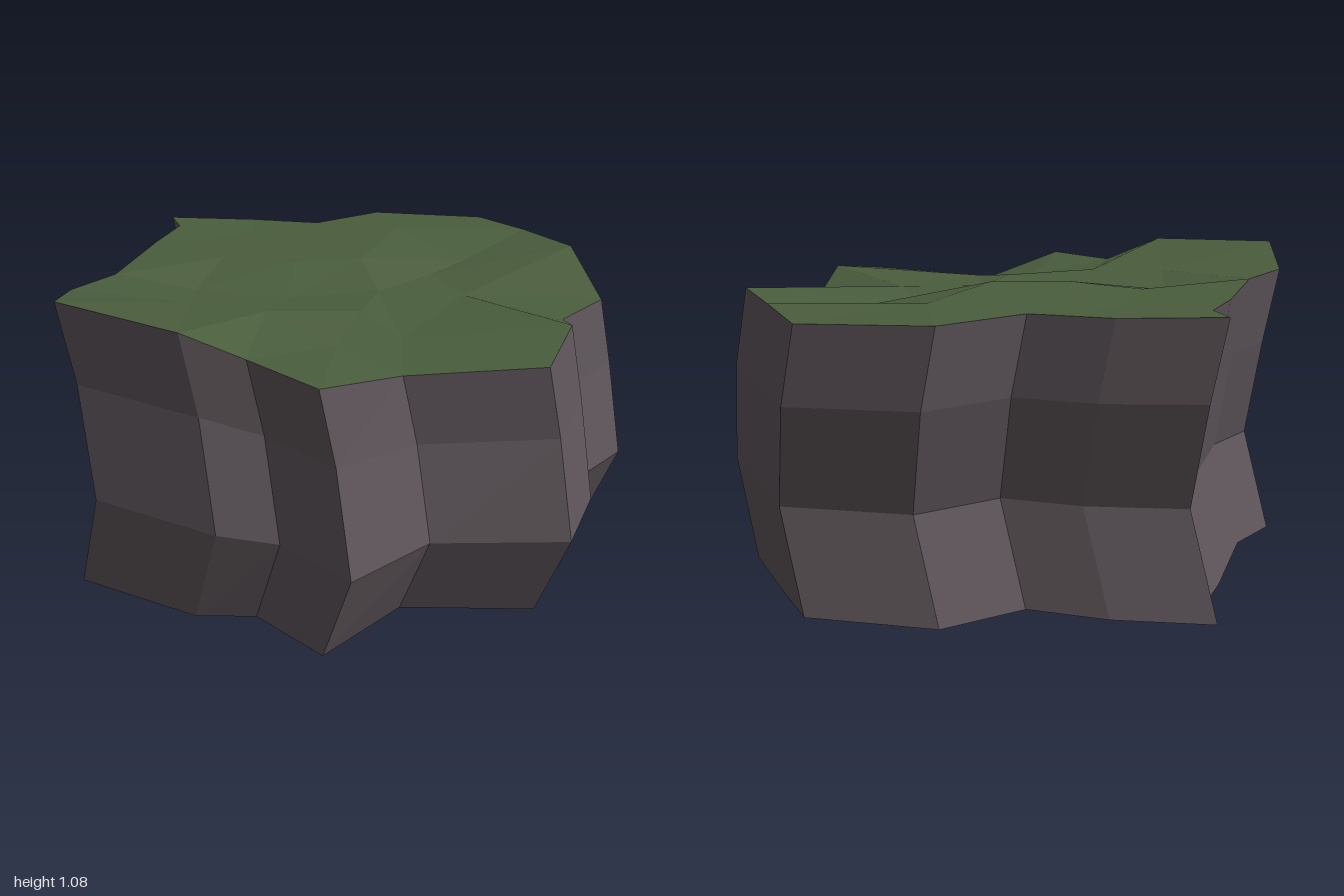
import * as THREE from 'three';

// Rim of the plateau [x, z, height], clockwise seen from above, starting back right corner
const RIM = [
  [-0.88, -0.75, 0.99], [-0.54, -0.79, 0.98], [-0.26, -0.77, 0.98], [-0.03, -0.99, 0.97],
  [0.42, -1.0, 0.96], [0.605, -0.77, 0.98], [0.79, -0.53, 0.99], [0.89, -0.14, 0.91],
  [0.74, 0.07, 0.905], [0.76, 0.28, 0.965], [0.68, 0.56, 0.925], [0.21, 0.6, 0.89],
  [-0.02, 0.91, 0.97], [-0.28, 0.71, 0.97], [-0.49, 0.73, 1.06], [-0.95, 0.55, 1.08],
  [-1.0, 0.24, 1.01], [-0.9, 0.03, 1.0], [-0.86, -0.4, 0.99], [-0.82, -0.63, 0.99],
];
// Uneven ground inside the rim, as two smaller loops
const MIDDLE = [
  [-0.52, -0.58, 0.98], [0.08, -0.7, 0.99], [0.37, -0.47, 0.935], [0.25, -0.3, 0.93],
  [0.38, -0.05, 0.94], [0.19, 0.38, 0.93], [-0.02, 0.47, 0.93], [-0.29, 0.3, 0.98],
  [-0.56, 0.27, 0.99], [-0.6, 0.03, 0.95], [-0.55, -0.24, 0.99],
];
const CENTRE = [
  [-0.28, -0.18, 1.0], [-0.02, -0.25, 1.0], [0.07, -0.03, 0.95],
  [0.03, 0.21, 0.96], [-0.25, 0.05, 0.94],
];
// Wall levels: [share of the rim height, shift in x, shift in z]
const LEVELS = [[0, 0, 0], [0.356, 0.105, 0.08], [0.725, 0.05, 0], [1, 0, 0]];

const toVector = ([x, z, h]) => new THREE.Vector3(x, h, z);

function facetedMesh(name, points, material) {
  const geometry = new THREE.BufferGeometry().setFromPoints(points);
  geometry.computeVertexNormals();
  const mesh = new THREE.Mesh(geometry, material);
  mesh.name = name;
  return mesh;
}

// Joins two closed loops, always taking the shorter diagonal
function stitch(outer, inner, out) {
  const n = outer.length, m = inner.length;
  let i = 0, j = 0;
  while (i < n || j < m) {
    const a = outer[i % n], b = inner[j % m];
    const a2 = outer[(i + 1) % n], b2 = inner[(j + 1) % m];
    if (j >= m || (i < n && a2.distanceTo(b) <= a.distanceTo(b2))) {
      out.push(a, b, a2);
      i++;
    } else {
      out.push(a, b, b2);
      j++;
    }
  }
}

export function createModel() {
  const group = new THREE.Group();
  group.name = 'rockPlateau';
  const stone = new THREE.MeshStandardMaterial({ color: 0x5e555a, flatShading: true, side: THREE.DoubleSide });
  stone.name = 'stone';
  const grass = new THREE.MeshStandardMaterial({ color: 0x4a5d3d, flatShading: true, side: THREE.DoubleSide });
  grass.name = 'grass';

  // Cliff wall, open underneath
  const rings = LEVELS.map(([share, dx, dz]) =>
    RIM.map(([x, z, h]) => new THREE.Vector3(x + dx, h * share, z + dz)));
  const wall = [];
  for (let k = 0; k < rings.length - 1; k++) {
    const low = rings[k], high = rings[k + 1];
    for (let i = 0; i < RIM.length; i++) {
      const next = (i + 1) % RIM.length;
      wall.push(low[next], low[i], high[i], low[next], high[i], high[next]);
    }
  }
  group.add(facetedMesh('cliffWall', wall, stone));

  // Grassy top: two stitched bands and a central patch
  const rim = RIM.map(toVector), middle = MIDDLE.map(toVector), centre = CENTRE.map(toVector);
  const top = [];
  stitch(rim, middle, top);
  stitch(middle, centre, top);
  const [a, b, c, d, e] = centre;
  top.push(a, e, b, b, e, c, c, e, d);
  group.add(facetedMesh('grassTop', top, grass));

  return group;
}
